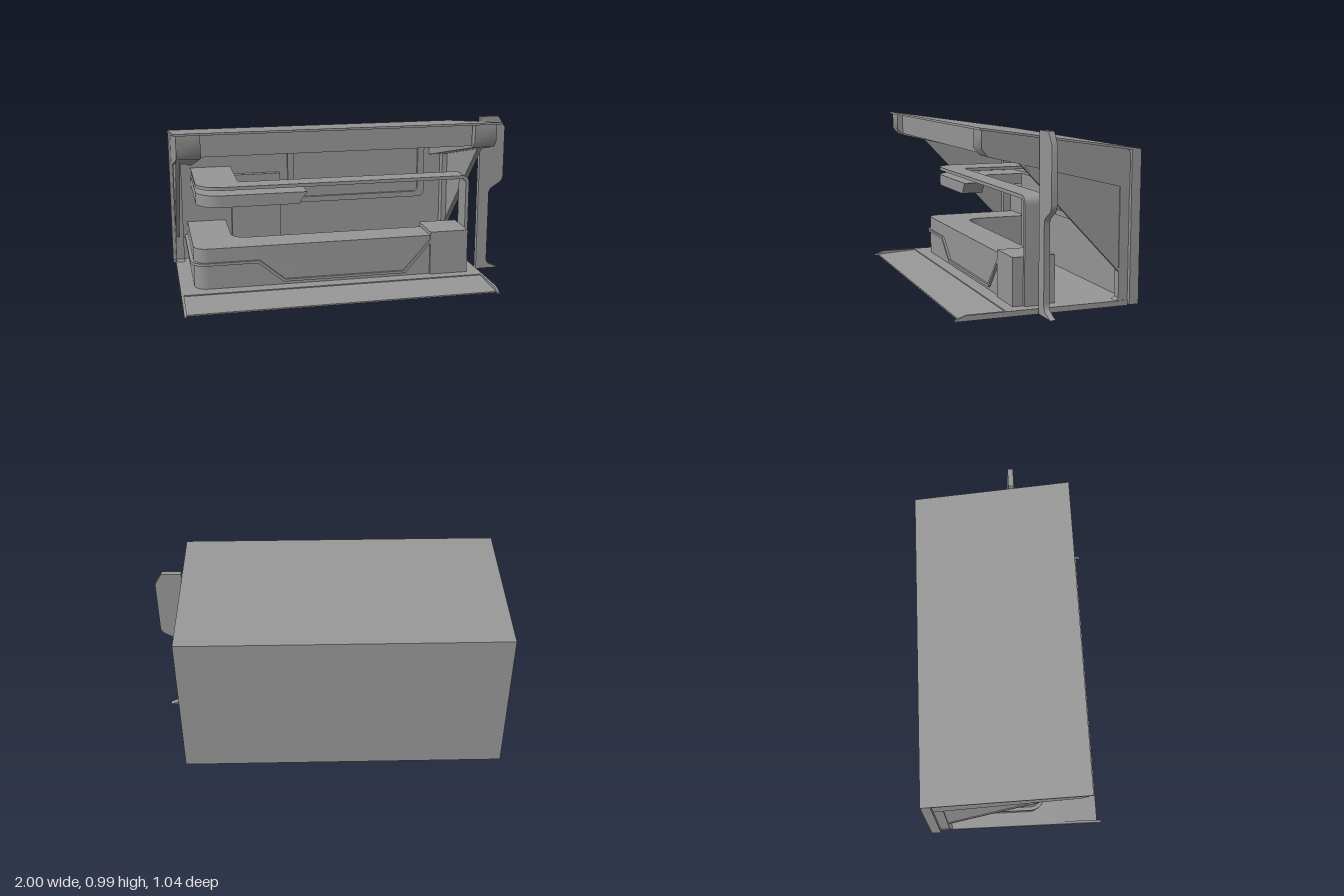
import * as THREE from 'three';
import { toCreasedNormals } from 'three/addons/utils/BufferGeometryUtils.js';

export function createModel() {
  const model = new THREE.Group();
  const grey = new THREE.MeshStandardMaterial({ color: 0x969696 });
  grey.name = 'grey';

  const add = (name, geo) => {
    const m = new THREE.Mesh(geo, grey);
    m.name = name;
    model.add(m);
  };
  const poly = (pts) => new THREE.Shape(pts.map((p) => new THREE.Vector2(p[0], p[1])));
  const extrude = (shape, depth, crease = 0.6) => toCreasedNormals(
    new THREE.ExtrudeGeometry(shape, { depth, bevelEnabled: false, curveSegments: 10 }), crease);

  // box from its limits
  const box = (name, x0, x1, y0, y1, z0, z1) => add(name,
    new THREE.BoxGeometry(x1 - x0, y1 - y0, z1 - z0)
      .translate((x0 + x1) / 2, (y0 + y1) / 2, (z0 + z1) / 2));
  // (z, y) profile swept across x
  const across = (name, pts, x0, x1, crease) =>
    add(name, extrude(poly(pts), x1 - x0, crease).rotateY(-Math.PI / 2).translate(x1, 0, 0));
  // (x, y) shape swept along z
  const forward = (name, shape, z0, z1) =>
    add(name, extrude(shape, z1 - z0).translate(0, 0, z0));
  // (x, z) plan swept upward
  const upward = (name, shape, y0, y1) =>
    add(name, extrude(shape, y1 - y0).rotateX(Math.PI / 2).translate(0, y1, 0));

  // L-shaped plan with rounded outer (R) and inner (r) corners
  const lPlan = (x0, x1, back, front, armX, armZ, R, r) => {
    const s = new THREE.Shape();
    s.moveTo(x0, back);
    s.lineTo(armX, back);
    s.lineTo(armX, armZ - r);
    s.quadraticCurveTo(armX, armZ, armX + r, armZ);
    s.lineTo(x1, armZ);
    s.lineTo(x1, front);
    s.lineTo(x0 + R, front);
    s.absarc(x0 + R, front - R, R, Math.PI / 2, Math.PI, false);
    s.lineTo(x0, back);
    return s;
  };
  const roundRect = (x0, x1, y0, y1, r, T = THREE.Shape) => {
    const s = new T();
    s.absarc(x1 - r, y1 - r, r, 0, Math.PI / 2);
    s.absarc(x0 + r, y1 - r, r, Math.PI / 2, Math.PI);
    s.absarc(x0 + r, y0 + r, r, Math.PI, Math.PI * 1.5);
    s.absarc(x1 - r, y0 + r, r, Math.PI * 1.5, Math.PI * 2);
    s.closePath();
    return s;
  };

  // shell: back wall, sloping roof, ceiling with front beam
  box('backWall', -1, 0.844, 0.008, 0.85, -0.52, -0.465);
  across('roof', [[0.39, 0.972], [0.39, 0.985], [-0.52, 0.855], [-0.52, 0.842]], -1, 0.844);
  across('ceiling', [[0.34, 0.845], [0.34, 0.965], [-0.465, 0.85], [-0.465, 0.79]], -0.86, 0.69);

  // thin floor deck, open underneath, with a solid ramp in front
  box('floorDeck', -0.975, 0.815, 0.02, 0.03, -0.465, 0.24);
  across('ramp', [[0.24, 0], [0.495, 0], [0.495, 0.008], [0.24, 0.024]], -0.975, 0.815);

  // sides, mirrored about the middle of the shell
  const mid = -0.08;
  for (const side of [-1, 1]) {
    const sweep = (name, pts, inner, outer, crease) => {
      const a = mid + side * inner, b = mid + side * outer;
      across(name, pts, Math.min(a, b), Math.max(a, b), crease);
    };
    sweep('sideBeam', [[0.375, 0.972], [0.375, 0.875], [0.34, 0.835], [-0.465, 0.64],
      [-0.465, 0.83], [-0.46, 0.844], [-0.44, 0.854]], 0.775, 0.905, 0.8);
    sweep('sideColumn', [[-0.465, 0], [-0.465, 0.66], [-0.41, 0.66], [-0.41, 0.045],
      [-0.395, 0.03], [-0.395, 0]], 0.85, 0.9);
    sweep('sideBrace', [[0.165, 0.795], [-0.41, 0.19], [-0.41, 0.655]], 0.882, 0.894);
    sweep('braceEdge', [[0.165, 0.795], [-0.41, 0.19], [-0.41, 0.21], [0.145, 0.79]], 0.876, 0.9);
    sweep('floorRim', [[-0.465, 0], [-0.465, 0.03], [0.46, 0.03], [0.52, 0.008], [0.52, 0]], 0.89, 0.905);
  }

  // framed panel on the back wall
  const frame = roundRect(-0.255, 0.655, 0.365, 0.755, 0.04);
  frame.holes.push(roundRect(-0.215, 0.612, 0.4, 0.73, 0.025, THREE.Path));
  forward('panelFrame', frame, -0.466, -0.445);

  // cabinet against the back wall
  box('cabinet', -0.62, -0.31, 0.03, 0.57, -0.466, -0.425);

  // counter, its end block and the raised trim
  upward('counter', lPlan(-0.9, 0.52, -0.466, 0.16, -0.66, -0.04, 0.08, 0.1), 0.025, 0.272);
  box('counterEndBlock', 0.51, 0.745, 0.018, 0.295, -0.067, 0.175);
  upward('counterSideTrim', lPlan(-0.92, -0.66, -0.466, 0.173, -0.8, 0.06, 0.09, 0.05), 0.172, 0.188);
  forward('counterFrontTrim', poly([[-0.72, 0.172], [-0.535, 0.172], [-0.385, 0.048], [0.355, 0.048],
    [0.512, 0.228], [0.512, 0.25], [0.345, 0.063], [-0.375, 0.063], [-0.525, 0.188], [-0.72, 0.188]]),
  0.155, 0.173);

  // overhead shelf with a slanted end
  upward('overheadShelf', lPlan(-0.87, -0.28, -0.466, 0.113, -0.62, -0.02, 0.14, 0.01), 0.5, 0.57);
  forward('shelfEnd', poly([[-0.28, 0.5], [-0.23, 0.57], [-0.28, 0.57]]), -0.02, 0.113);

  // canopy plate above the shelf, bending down into a leg
  upward('canopyPlate', lPlan(-0.87, 0.6, -0.466, 0.115, -0.62, -0.012, 0.14, 0.03), 0.6, 0.62);
  const bend = new THREE.Shape();
  bend.moveTo(0.6, 0.6);
  bend.lineTo(0.715, 0.6);
  bend.quadraticCurveTo(0.745, 0.6, 0.745, 0.57);
  bend.lineTo(0.745, 0.025);
  bend.lineTo(0.765, 0.025);
  bend.lineTo(0.765, 0.57);
  bend.quadraticCurveTo(0.765, 0.62, 0.715, 0.62);
  bend.lineTo(0.6, 0.62);
  forward('canopyLeg', bend, -0.012, 0.115);

  // free-standing sign post
  const post = new THREE.Shape();
  post.moveTo(0.844, 0.008);
  post.lineTo(0.995, 0.008);
  post.lineTo(0.935, 0.033);
  post.quadraticCurveTo(0.912, 0.043, 0.912, 0.075);
  post.lineTo(0.912, 0.49);
  post.quadraticCurveTo(0.912, 0.515, 0.935, 0.53);
  post.lineTo(0.975, 0.555);
  post.quadraticCurveTo(1, 0.57, 1, 0.6);
  post.lineTo(1, 0.9);
  post.lineTo(0.958, 0.967);
  post.lineTo(0.844, 0.967);
  forward('signPost', post, 0.037, 0.069);

  return model;
}
